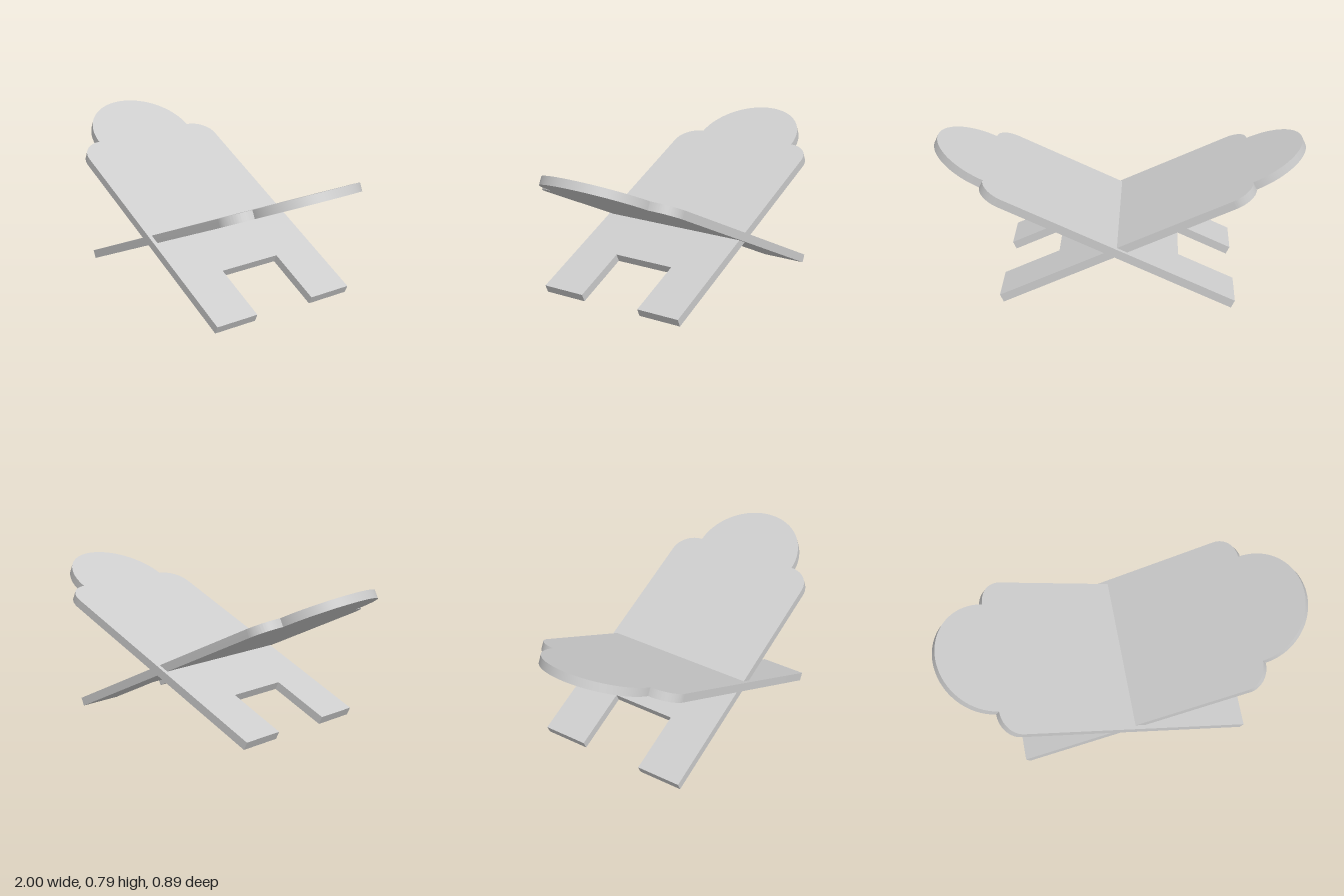
import * as THREE from 'three';
import { toCreasedNormals } from 'three/addons/utils/BufferGeometryUtils.js';

const TILT = 25 * Math.PI / 180;
const LENGTH = 1.772, THICK = 0.046, HALF = 0.436;
const DOME = 0.305, SLOT_HALF = 0.182, SLOT_DEPTH = 0.333;

// Flat board outline: x runs from the feet to the domed top, y across the width
function boardShape() {
  const neck = LENGTH - DOME, r = HALF - DOME, rx = 0.12;
  const s = new THREE.Shape();
  s.moveTo(0, -HALF);
  s.lineTo(neck - rx, -HALF);
  s.absellipse(neck - rx, -DOME, rx, r, -Math.PI / 2, 0, false);   // shoulder
  s.absarc(neck, 0, DOME, -Math.PI / 2, Math.PI / 2, false);       // dome
  s.absellipse(neck - rx, DOME, rx, r, 0, Math.PI / 2, false);     // shoulder
  s.lineTo(0, HALF);
  // slot between the two feet
  s.lineTo(0, SLOT_HALF);
  s.lineTo(SLOT_DEPTH, SLOT_HALF);
  s.lineTo(SLOT_DEPTH, -SLOT_HALF);
  s.lineTo(0, -SLOT_HALF);
  s.closePath();
  return s;
}

export function createModel() {
  const group = new THREE.Group();
  group.name = 'foldingBookStand';
  const grey = new THREE.MeshStandardMaterial({ color: 0xcccccc });
  grey.name = 'light grey';

  let geo = new THREE.ExtrudeGeometry(boardShape(), { depth: THICK, bevelEnabled: false, curveSegments: 32 });
  geo.rotateX(-Math.PI / 2);
  geo.rotateZ(TILT);
  geo.translate(-(LENGTH * Math.cos(TILT) - 1), 0, -0.011);
  geo = toCreasedNormals(geo, Math.PI / 6);

  // Two identical boards crossing, one turned half way round
  ['leftBoard', 'rightBoard'].forEach((name, i) => {
    const board = new THREE.Mesh(geo, grey);
    board.name = name;
    board.rotation.y = i * Math.PI;
    group.add(board);
  });
  return group;
}
